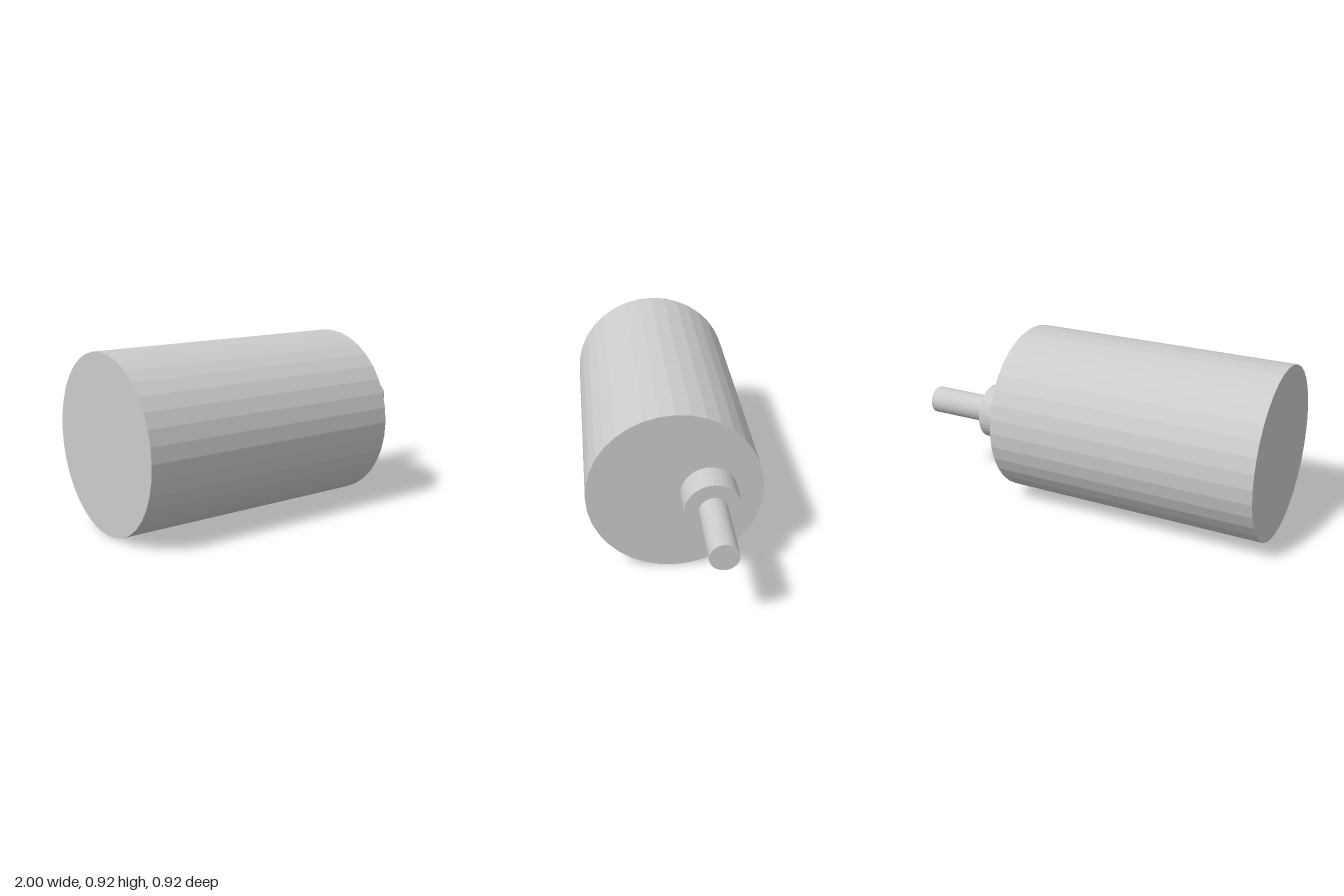
import * as THREE from 'three';

const RADIUS = 0.46;
const SIDES = 36;

export function createModel() {
  const group = new THREE.Group();
  group.name = 'gearMotor';
  const material = new THREE.MeshStandardMaterial({ color: 0xcccccc, flatShading: true });

  // Faceted cylinder lying along x, from x0 to x1
  function addCylinder(name, radius, x0, x1, z) {
    const geometry = new THREE.CylinderGeometry(radius, radius, x1 - x0, SIDES);
    geometry.rotateX(0).rotateZ(-Math.PI / 2);
    const mesh = new THREE.Mesh(geometry, material);
    mesh.name = name;
    mesh.position.set((x0 + x1) / 2, RADIUS, z);
    group.add(mesh);
  }

  // Motor can, with the collar and output shaft set off-centre towards the back
  addCylinder('body', RADIUS, -1, 0.461, 0);
  addCylinder('collar', 0.148, 0.461, 0.625, -0.174);
  addCylinder('shaft', 0.074, 0.625, 1, -0.174);

  return group;
}
